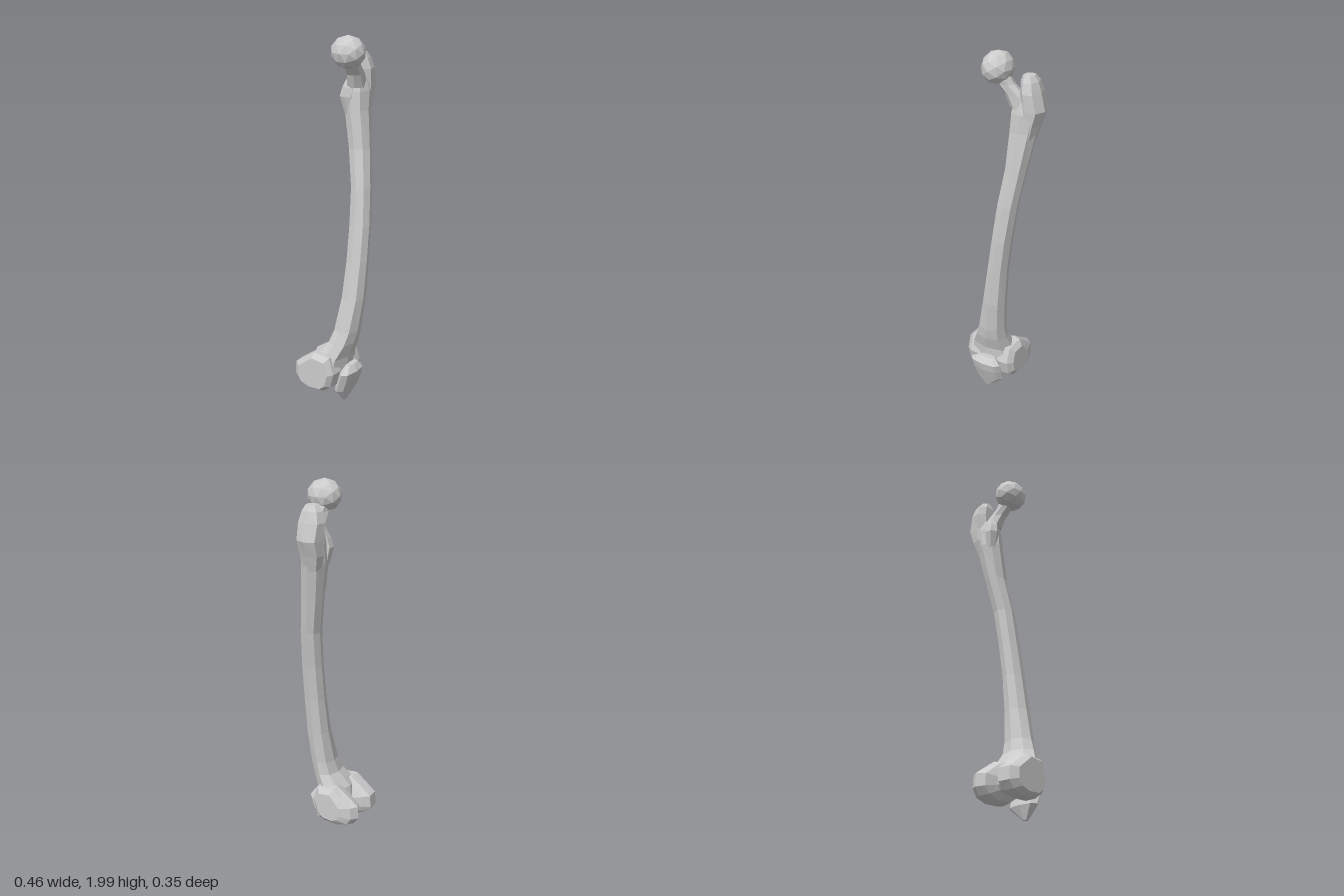
import * as THREE from 'three';

const material = new THREE.MeshStandardMaterial({ color: 0xcccccc, flatShading: true });

// Skin a list of equal-length point rings and close both ends
function loft(name, rings) {
  const n = rings[0].length;
  const tris = [];
  for (let r = 0; r < rings.length - 1; r++) {
    for (let i = 0; i < n; i++) {
      const j = (i + 1) % n;
      const a = rings[r][i], b = rings[r][j], c = rings[r + 1][j], d = rings[r + 1][i];
      tris.push([a, b, c], [a, c, d]);
    }
  }
  const cap = (ring, flip) => {
    const mid = ring.reduce((s, p) => s.add(p), new THREE.Vector3()).divideScalar(n);
    ring.forEach((p, i) => {
      const q = ring[(i + 1) % n];
      tris.push(flip ? [mid, q, p] : [mid, p, q]);
    });
  };
  cap(rings[0], true);
  cap(rings[rings.length - 1], false);
  // Signed volume tells whether the skin faces outward
  const cross = new THREE.Vector3();
  const volume = tris.reduce((s, [a, b, c]) => s + a.dot(cross.crossVectors(b, c)), 0);
  const points = tris.flatMap(([a, b, c]) => (volume < 0 ? [a, c, b] : [a, b, c]));
  const geometry = new THREE.BufferGeometry().setFromPoints(points);
  geometry.computeVertexNormals();
  const mesh = new THREE.Mesh(geometry, material);
  mesh.name = name;
  return mesh;
}

// Horizontal rings from rows of [y, xMin, xMax, zMin, zMax]
function stack(name, rows, sides = 8, power = 0.85) {
  const bend = (v) => Math.sign(v) * Math.abs(v) ** power;
  return loft(name, rows.map(([y, x0, x1, z0, z1]) =>
    Array.from({ length: sides }, (_, i) => {
      const a = (i / sides) * Math.PI * 2;
      return new THREE.Vector3(
        (x0 + x1) / 2 + bend(Math.cos(a)) * (x1 - x0) / 2, y,
        (z0 + z1) / 2 + bend(Math.sin(a)) * (z1 - z0) / 2);
    })));
}

export function createModel() {
  const bone = new THREE.Group();
  bone.name = 'thighBone';

  // Bowed shaft, flaring toward the knee
  bone.add(stack('shaft', [
    [0.13, -0.22, 0.06, -0.03, 0.09],
    [0.20, -0.222, 0.06, -0.07, 0.115],
    [0.27, -0.21, 0.045, -0.055, 0.12],
    [0.35, -0.16, 0.03, 0.01, 0.145],
    [0.42, -0.13, 0.03, 0.03, 0.158],
    [0.60, -0.085, 0.043, 0.05, 0.174],
    [0.80, -0.05, 0.06, 0.058, 0.176],
    [1.00, -0.02, 0.085, 0.056, 0.172],
    [1.20, 0.005, 0.115, 0.048, 0.157],
    [1.40, 0.035, 0.147, 0.01, 0.13],
    [1.60, 0.04, 0.185, -0.025, 0.105],
    [1.70, 0.045, 0.21, -0.025, 0.1],
    [1.76, 0.06, 0.19, -0.01, 0.085],
  ]));

  // Ball of the hip joint
  const head = new THREE.Mesh(new THREE.IcosahedronGeometry(1, 1), material);
  head.name = 'head';
  head.scale.set(0.081, 0.086, 0.095);
  head.position.set(-0.02, 1.914, 0.07);
  bone.add(head);

  // Slanted neck joining ball and shaft
  bone.add(stack('neck', [
    [1.89, -0.06, 0.045, 0.025, 0.12],
    [1.84, -0.025, 0.07, 0.025, 0.105],
    [1.79, 0.015, 0.12, 0.015, 0.095],
    [1.72, 0.04, 0.16, -0.01, 0.09],
  ], 7));

  // Large outer knob and small inner knob
  bone.add(stack('greaterTrochanter', [
    [1.56, 0.11, 0.175, -0.01, 0.09],
    [1.64, 0.1, 0.2, -0.032, 0.095],
    [1.72, 0.1, 0.23, -0.036, 0.098],
    [1.81, 0.1, 0.207, -0.042, 0.102],
    [1.865, 0.1, 0.19, -0.025, 0.085],
    [1.895, 0.11, 0.17, 0.0, 0.068],
  ], 7));
  bone.add(stack('lesserTrochanter', [
    [1.58, 0.05, 0.1, -0.015, 0.04],
    [1.67, 0.028, 0.1, -0.035, 0.05],
    [1.72, 0.035, 0.1, -0.02, 0.05],
    [1.77, 0.06, 0.1, 0.0, 0.04],
  ], 6));

  // Knee end: a side profile [z, y] swept across x, narrowed between the two lobes
  const profile = [
    [0.08, 0.29], [-0.03, 0.3], [-0.1, 0.25], [-0.155, 0.21], [-0.16, 0.14],
    [-0.13, 0.1], [-0.06, 0.08], [0.04, 0.085], [0.09, 0.12], [0.11, 0.2],
  ];
  // Each station: x, height scale, back scale, front scale
  const stations = [
    [-0.23, 0.8, 0.72, 0.75], [-0.2, 1, 0.96, 0.95], [-0.135, 1, 1, 1],
    [-0.105, 0.85, 0.75, 0.95], [-0.085, 0.6, 0.5, 0.85], [-0.058, 0.6, 0.5, 0.85],
    [-0.035, 0.9, 0.9, 0.95], [0.01, 1, 1.07, 1], [0.05, 0.95, 0.9, 0.95],
    [0.074, 0.7, 0.5, 0.65],
  ];
  bone.add(loft('condyles', stations.map(([x, height, back, front]) =>
    profile.map(([z, y]) => new THREE.Vector3(
      x, 0.18 + (y - 0.18) * height, z * (z < 0 ? back : front))))));

  // Kneecap
  bone.add(stack('kneecap', [
    [0.008, -0.1, -0.068, 0.085, 0.108],
    [0.08, -0.162, 0.018, 0.06, 0.135],
    [0.14, -0.166, 0.022, 0.08, 0.158],
    [0.19, -0.17, 0.023, 0.1, 0.17],
    [0.225, -0.11, -0.01, 0.11, 0.145],
  ], 8));

  return bone;
}
